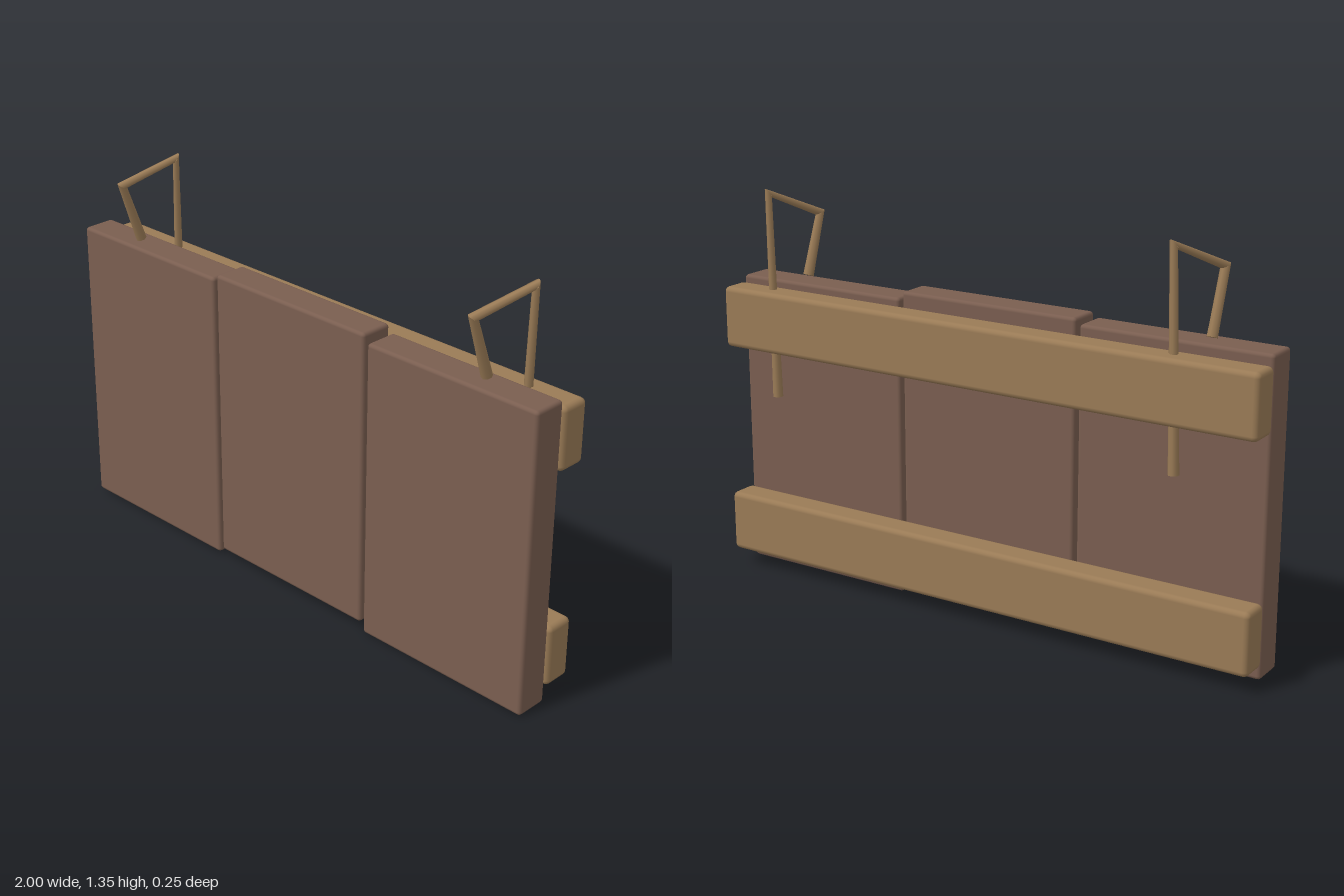
import * as THREE from 'three';
import { RoundedBoxGeometry } from 'three/addons/geometries/RoundedBoxGeometry.js';

const darkWood = new THREE.MeshStandardMaterial({ color: 0x7a5e50 });
darkWood.name = 'darkWood';
const lightWood = new THREE.MeshStandardMaterial({ color: 0x9a7b56 });
lightWood.name = 'lightWood';

// Rounded block given by its minimum and maximum corners
function block(name, min, max, bevel, material) {
  const s = max.map((v, i) => v - min[i]);
  const mesh = new THREE.Mesh(new RoundedBoxGeometry(s[0], s[1], s[2], 2, bevel), material);
  mesh.position.set(...max.map((v, i) => (v + min[i]) / 2));
  mesh.name = name;
  return mesh;
}

// Bent rod: one cylinder per straight run, ends turned to meet at each corner
function bentRod(name, points, radius, material) {
  const group = new THREE.Group();
  group.name = name;
  const dirs = points.slice(1).map((p, i) => p.clone().sub(points[i]).normalize());
  const planes = points.map((p, i) =>
    (dirs[i - 1] ?? dirs[i]).clone().add(dirs[i] ?? dirs[i - 1]).normalize());
  const v = new THREE.Vector3();
  dirs.forEach((dir, i) => {
    const a = points[i], b = points[i + 1];
    const length = a.distanceTo(b);
    const geo = new THREE.CylinderGeometry(radius, radius, length, 8);
    const isTop = Array.from({ length: geo.attributes.position.count },
      (_, k) => geo.attributes.position.getY(k) > 0);
    geo.applyQuaternion(new THREE.Quaternion().setFromUnitVectors(new THREE.Vector3(0, 1, 0), dir));
    geo.translate((a.x + b.x) / 2, (a.y + b.y) / 2, (a.z + b.z) / 2);
    const pos = geo.attributes.position;
    for (let k = 0; k < pos.count; k++) {
      const end = isTop[k] ? b : a;
      const normal = planes[isTop[k] ? i + 1 : i];
      v.fromBufferAttribute(pos, k).sub(end);
      if (v.length() < 1e-5) continue;
      v.addScaledVector(dir, -v.dot(normal) / dir.dot(normal)).setLength(radius).add(end);
      pos.setXYZ(k, v.x, v.y, v.z);
    }
    const mesh = new THREE.Mesh(geo, material);
    mesh.name = name + 'Run' + (i + 1);
    group.add(mesh);
  });
  return group;
}

export function createModel() {
  const model = new THREE.Group();
  model.name = 'plankPanel';

  // Three upright planks at slightly uneven heights: x0, x1, y0, y1
  const planks = [
    ['rightPlank', -0.997, -0.343, 0.01, 1.038],
    ['middlePlank', -0.33, 0.325, 0.03, 1.055],
    ['leftPlank', 0.338, 0.992, 0, 1.03],
  ];
  for (const [name, x0, x1, y0, y1] of planks) {
    model.add(block(name, [x0, y0, -0.02], [x1, y1, 0.096], 0.012, darkWood));
  }

  // Two cross beams along the back
  for (const [name, y] of [['lowerBeam', 0.055], ['upperBeam', 0.795]]) {
    model.add(block(name, [-1, y, -0.122], [1, y + 0.211, -0.018], 0.018, lightWood));
  }

  // Two bent hooks passing through the upper beam
  for (const [name, x] of [['rightHook', -0.767], ['leftHook', 0.757]]) {
    const path = [
      [0, 1.045, 0.038], [0, 1.25, 0.11], [0.092, 1.33, -0.048], [0.056, 0.635, -0.076],
    ].map(([dx, y, z]) => new THREE.Vector3(x + dx, y, z));
    model.add(bentRod(name, path, 0.018, lightWood));
  }

  return model;
}
